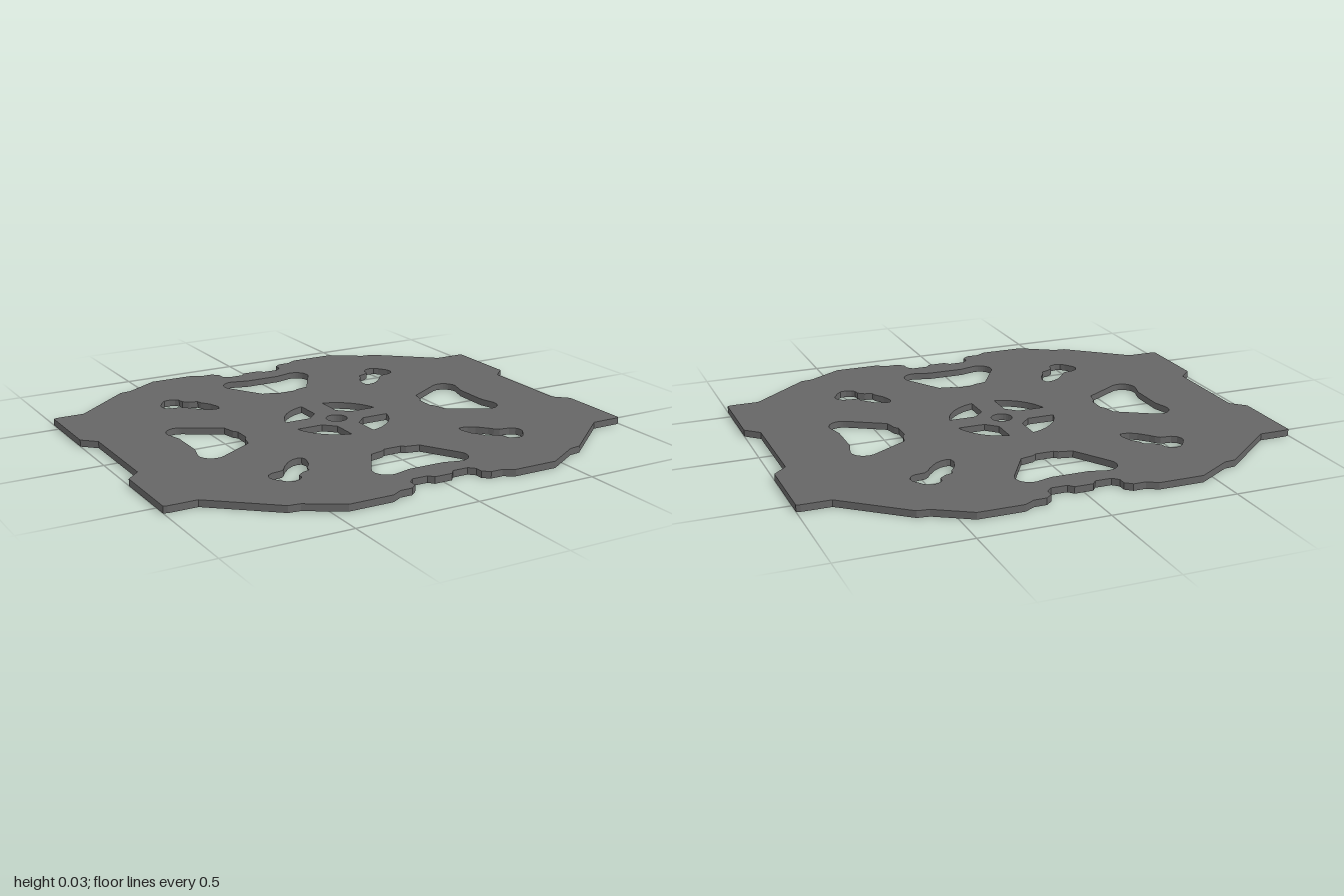
import * as THREE from 'three';

const THICKNESS = 0.027;

// Turns a list of [x, y] pairs into vectors
const vecs = (pts) => pts.map(([x, y]) => new THREE.Vector2(x, y));
const mirrorX = (pts) => pts.map(([x, y]) => [-x, y]).reverse();
const mirrorY = (pts) => pts.map(([x, y]) => [x, -y]).reverse();

// Points along an arc, angles in degrees
function arc(cx, cy, r, from, to, steps) {
  return Array.from({ length: steps + 1 }, (_, i) => {
    const a = THREE.MathUtils.degToRad(from + ((to - from) * i) / steps);
    return [cx + r * Math.cos(a), cy + r * Math.sin(a)];
  });
}

function rotate(pts, quarterTurns) {
  const a = (quarterTurns * Math.PI) / 2;
  const c = Math.round(Math.cos(a)), s = Math.round(Math.sin(a));
  return pts.map(([x, y]) => [x * c - y * s, x * s + y * c]);
}

export function createModel() {
  const grey = new THREE.MeshStandardMaterial({ color: 0x666666 });
  grey.name = 'dark grey';

  // Outer edge: one quarter, mirrored both ways, running counter-clockwise
  const quarter = [
    [0.945, 0.197], [1, 0.25], [1, 0.558], [0.985, 0.564], [0.87, 0.564],
    [0.63, 0.766], [0.583, 0.772], [0.443, 0.858], [0.262, 0.858], [0.22, 0.833],
    [0.17, 0.833], [0.143, 0.81], [0.143, 0.778], [0.12, 0.755], [0.055, 0.755],
    [0.037, 0.777],
  ];
  const half = [...mirrorY(quarter), ...quarter];
  const plate = new THREE.Shape(vecs([...half, ...mirrorX(half)]));
  const cut = (pts) => plate.holes.push(new THREE.Path(vecs(pts)));

  // Large two-lobed windows on the four sides
  const windowHalf = [
    [0.075, 0.661],
    ...arc(0.149, 0.626, 0.054, 112, -31, 12),
    [0.107, 0.452], [0.053, 0.44], [0.037, 0.427],
  ];
  const sideWindow = [...windowHalf, ...mirrorX(windowHalf)];

  // Small lobed cutouts on the diagonals
  const diagonal = [
    [0.49, 0.565], [0.515, 0.561], [0.53, 0.545], [0.555, 0.507], [0.558, 0.487],
    [0.55, 0.467], [0.53, 0.453], [0.487, 0.448], [0.47, 0.433], [0.456, 0.412],
    [0.444, 0.4], [0.422, 0.376], [0.395, 0.359], [0.37, 0.354], [0.355, 0.358],
    [0.35, 0.382], [0.364, 0.428], [0.39, 0.465], [0.395, 0.487], [0.428, 0.498],
    [0.452, 0.518], [0.455, 0.543], [0.468, 0.557],
  ];

  // Openings between the four spokes, with a chamfer at the hub
  const edgeAngle = THREE.MathUtils.radToDeg(Math.asin(0.05 / 0.212));
  const spokeGap = [
    [0.05, 0.095], [0.095, 0.05],
    ...arc(0, 0, 0.212, edgeAngle, 90 - edgeAngle, 14),
  ];

  for (let i = 0; i < 4; i++) {
    cut(rotate(sideWindow, i));
    cut(rotate(spokeGap, i));
  }
  for (const pts of [diagonal, mirrorX(diagonal)]) {
    cut(pts);
    cut(mirrorY(pts));
  }

  // Centre bore
  cut(arc(0, 0, 0.043, 0, 360, 24).slice(0, -1));

  // Flat plate lying on the ground
  const geometry = new THREE.ExtrudeGeometry(plate, { depth: THICKNESS, bevelEnabled: false });
  geometry.rotateX(-Math.PI / 2);
  const mesh = new THREE.Mesh(geometry, grey);
  mesh.name = 'framePlate';

  const group = new THREE.Group();
  group.name = 'mountingPlate';
  group.add(mesh);
  return group;
}
